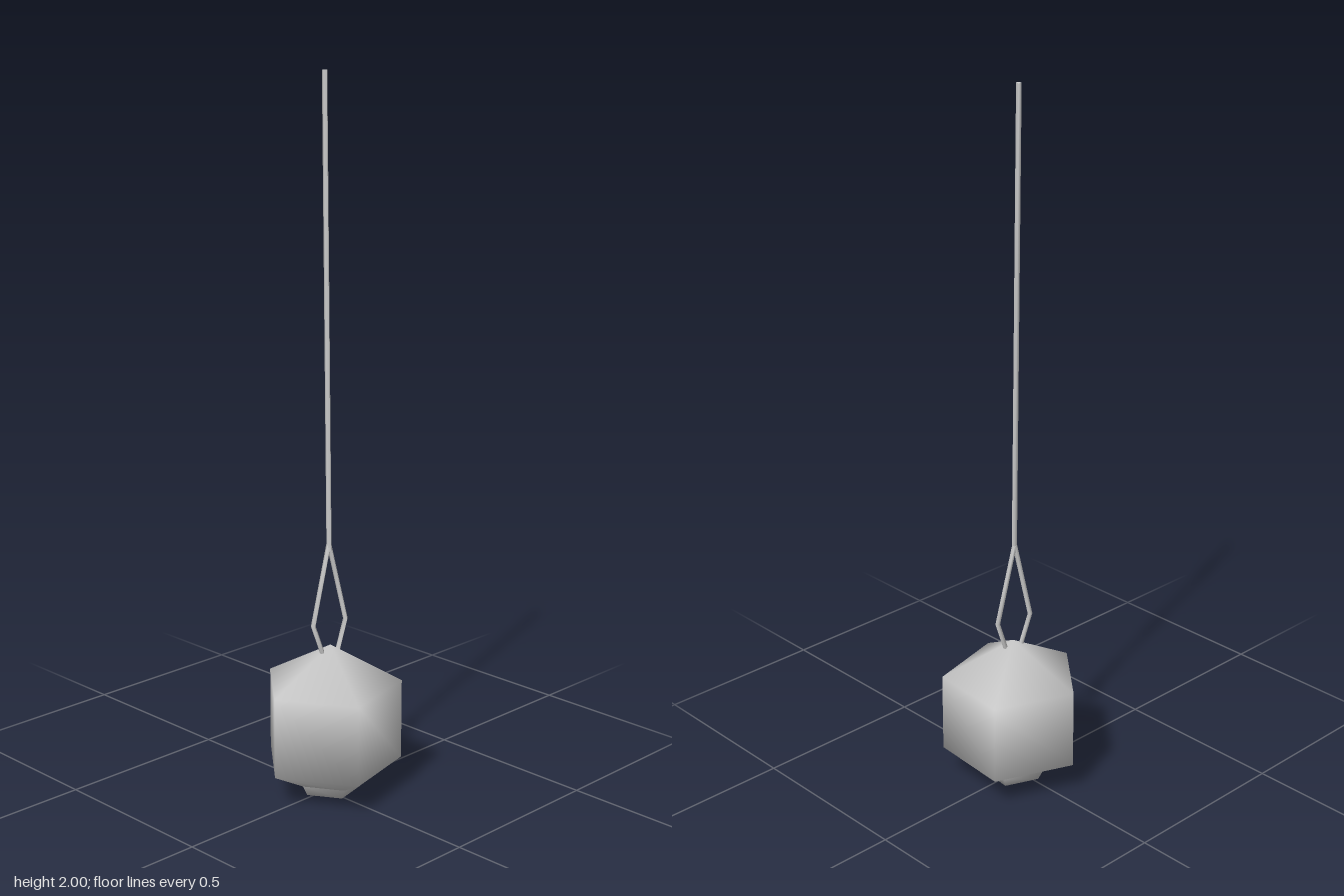
import * as THREE from 'three';

const material = new THREE.MeshStandardMaterial({ color: 0xcccccc });
const CENTRE = new THREE.Vector3(0.014, 0.2075, 0.003);
const START = THREE.MathUtils.degToRad(49.6);

function add(group, name, geometry) {
  const mesh = new THREE.Mesh(geometry, material);
  mesh.name = name;
  group.add(mesh);
  return mesh;
}

// Five-sided turned part; profile runs [radius, y] from bottom to top
function pentagonTurn(profile) {
  const points = profile.map(([r, y]) => new THREE.Vector2(r, y));
  return new THREE.LatheGeometry(points, 5, START).translate(CENTRE.x, 0, CENTRE.z);
}

// Thin strand with one level ring of vertices at each path point, top to bottom
function strand(path, radius) {
  const sides = 5, rows = path.length - 1;
  const geometry = new THREE.CylinderGeometry(radius, radius, rows, sides, rows);
  const p = geometry.attributes.position;
  for (let i = 0; i < p.count; i++) {
    const [x, y, z] = path[Math.round(rows / 2 - p.getY(i))];
    p.setXYZ(i, p.getX(i) + x, y, p.getZ(i) + z);
  }
  geometry.computeVertexNormals();
  return geometry;
}

export function createModel() {
  const model = new THREE.Group();
  model.name = 'hangingBall';

  // Ball: coarse sphere with rounded shading
  const ball = pentagonTurn([[0.1, 0.037], [0.2, 0.092], [0.2, 0.322], [0, 0.434]]);
  const p = ball.attributes.position, n = new THREE.Vector3();
  for (let i = 0; i < p.count; i++) {
    n.fromBufferAttribute(p, i).sub(CENTRE).normalize();
    ball.attributes.normal.setXYZ(i, n.x, n.y, n.z);
  }
  add(model, 'ball', ball);

  // Short tapered foot closing the underside
  add(model, 'foot', pentagonTurn([[0, 0], [0.085, 0.007], [0.1, 0.037]]));

  // Two strands forming the loop above the ball
  add(model, 'loopLeft', strand(
    [[0.008, 0.725, 0.004], [0.065, 0.5, 0.011], [0.032, 0.4, 0.009]], 0.007));
  add(model, 'loopRight', strand(
    [[0.006, 0.725, 0.004], [-0.045, 0.5, -0.004], [-0.008, 0.4, 0]], 0.007));

  // Long, slightly leaning cord
  add(model, 'cord', strand(
    [[-0.005, 2, 0], [0, 1.4, 0.003], [0.007, 0.71, 0.005]], 0.0075));

  return model;
}
